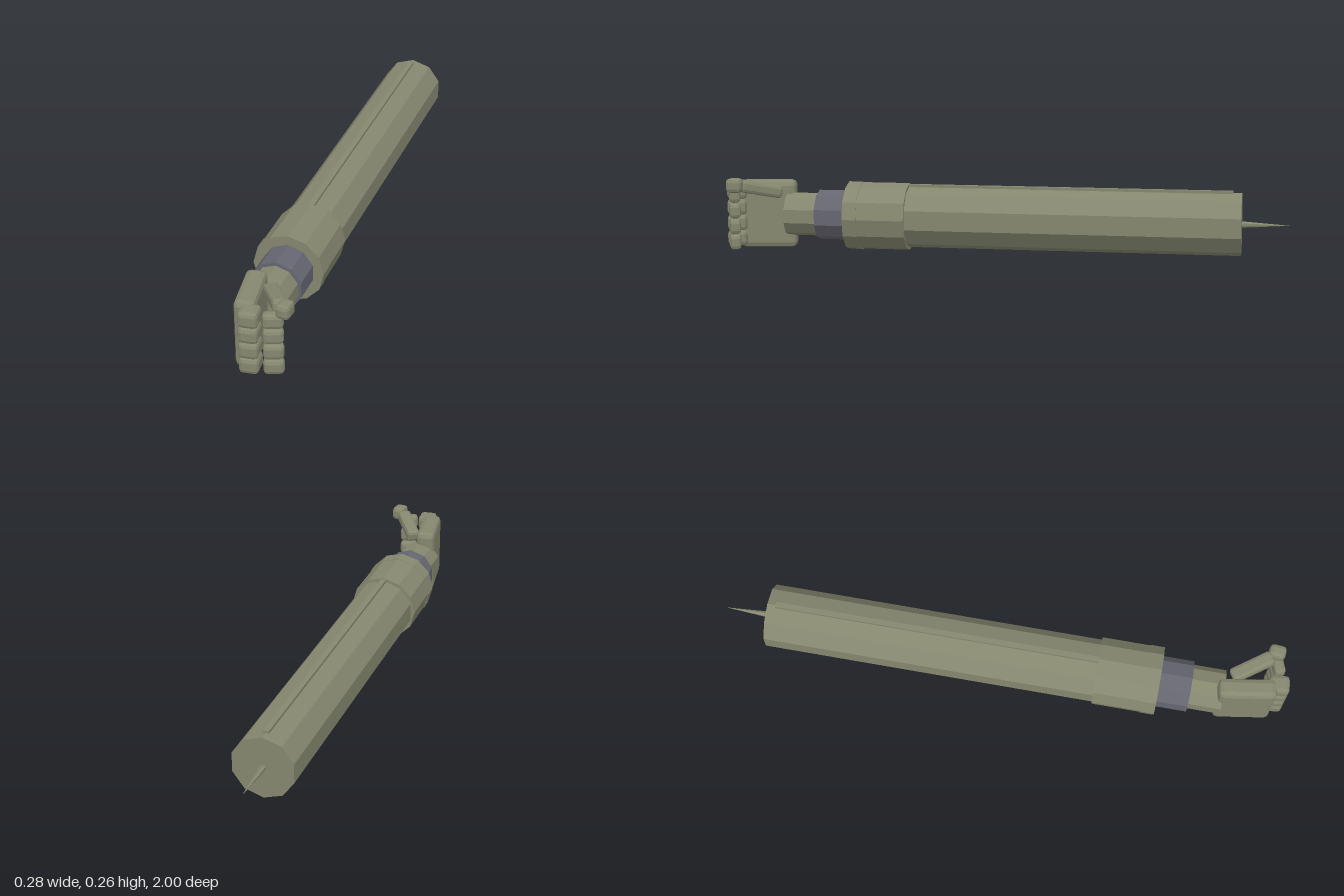
import * as THREE from 'three';
import { RoundedBoxGeometry } from 'three/addons/geometries/RoundedBoxGeometry.js';

export function createModel() {
  const model = new THREE.Group();
  model.name = 'handLauncher';
  const olive = new THREE.MeshStandardMaterial({ color: 0x85876f, flatShading: true });
  olive.name = 'olive';
  const grey = new THREE.MeshStandardMaterial({ color: 0x656670, flatShading: true });
  grey.name = 'slate grey';

  const AXIS_X = -0.02, AXIS_Y = 0.125;

  function add(name, geometry, material, x, y, z, parent = model) {
    const mesh = new THREE.Mesh(geometry, material);
    mesh.name = name;
    mesh.position.set(x, y, z);
    parent.add(mesh);
    return mesh;
  }

  // Faceted tube section lying along z on the shared axis
  function section(name, z0, z1, rBack, rFront, sides, material) {
    const g = new THREE.CylinderGeometry(rFront, rBack, z1 - z0, sides);
    g.rotateX(Math.PI / 2);
    return add(name, g, material, AXIS_X, AXIS_Y, (z0 + z1) / 2);
  }

  // Chamfered block
  function block(name, w, h, d, bevel, x, y, z, parent = model) {
    return add(name, new RoundedBoxGeometry(w, h, d, 1, bevel), olive, x, y, z, parent);
  }

  // Arm, from back to front
  section('rearSpike', -1, -0.83, 0, 0.012, 6, olive);
  section('barrel', -0.835, 0.36, 0.11, 0.11, 10, olive);
  section('collar', 0.335, 0.505, 0.12, 0.12, 12, olive);
  section('collarLip', 0.505, 0.555, 0.122, 0.122, 12, olive);
  section('cuff', 0.54, 0.665, 0.089, 0.089, 10, grey);
  section('wrist', 0.65, 0.78, 0.077, 0.077, 10, olive);

  // Rail along the top of the barrel
  add('topRail', new THREE.BoxGeometry(0.02, 0.03, 1.145), olive, AXIS_X, 0.226, -0.232);

  // Hand
  const hand = new THREE.Group();
  hand.name = 'hand';
  model.add(hand);

  const palm = block('palm', 0.07, 0.242, 0.2, 0.018, -0.03, 0.124, 0.855, hand);
  palm.rotation.y = 0.155;

  // Four curled fingers, each a knuckle and a tip
  [0.208, 0.152, 0.095, 0.04].forEach((y, i) => {
    const knuckle = block('fingerKnuckle' + (i + 1), 0.065, 0.056, 0.07, 0.014, 0.007, y, 0.961, hand);
    knuckle.rotation.y = 0.1;
    const tip = block('fingerTip' + (i + 1), 0.066, 0.052, 0.04, 0.013, 0.079, y - 0.005, 0.95, hand);
    tip.rotation.y = 0.35;
  });

  // Thumb
  const from = new THREE.Vector3(0.012, 0.207, 0.797);
  const to = new THREE.Vector3(0.096, 0.239, 0.925);
  const middle = from.clone().add(to).multiplyScalar(0.5);
  const thumb = block('thumb', 0.05, 0.044, from.distanceTo(to), 0.012, middle.x, middle.y, middle.z, hand);
  thumb.lookAt(to);
  const thumbTip = block('thumbTip', 0.048, 0.05, 0.058, 0.014, 0.114, 0.241, 0.937, hand);
  thumbTip.rotation.y = -0.1;

  return model;
}
